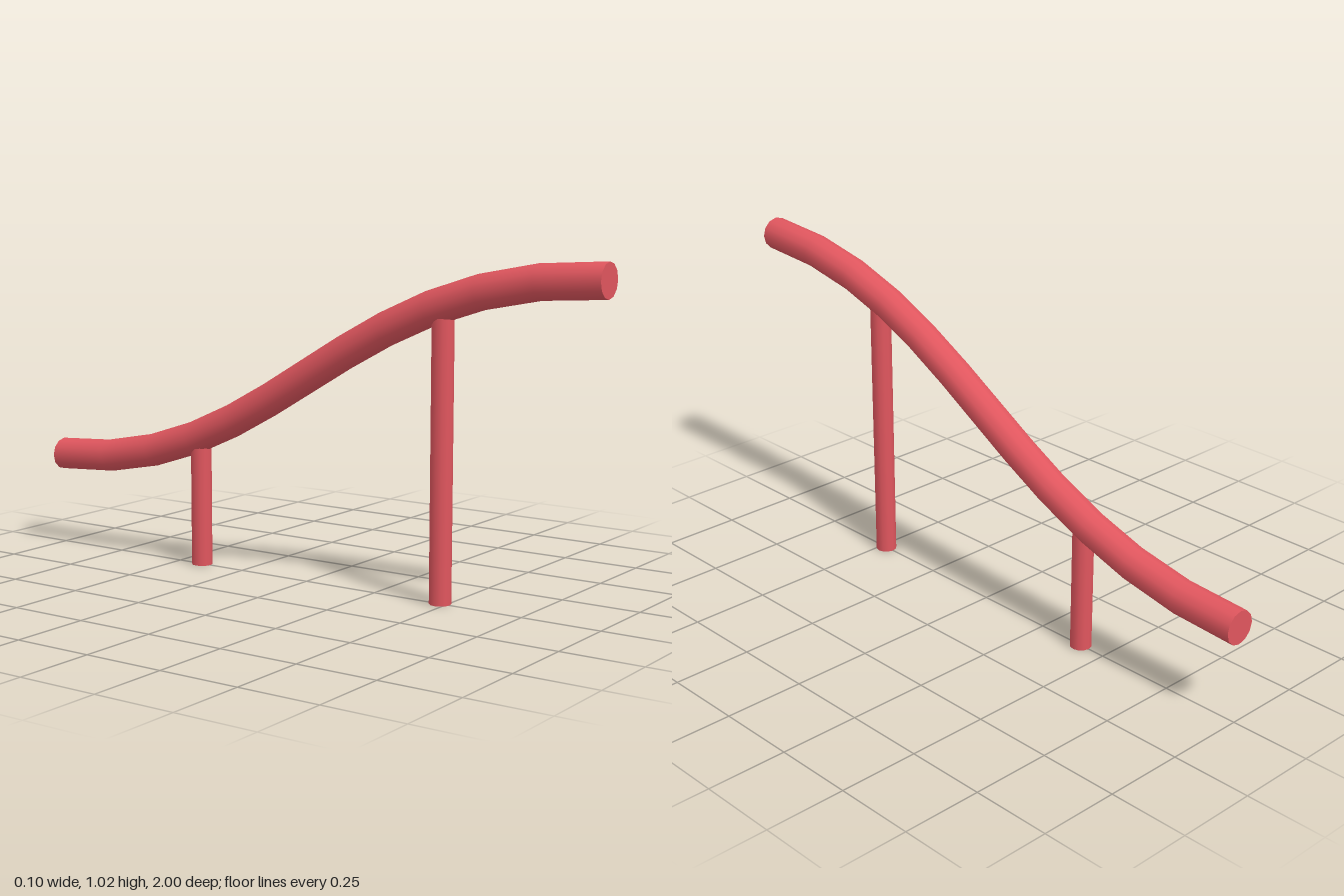
import * as THREE from 'three';

export function createModel() {
  const model = new THREE.Group();
  const material = new THREE.MeshStandardMaterial({ color: 0xe0565e });
  const add = (name, geometry, parent = model) => {
    const mesh = new THREE.Mesh(geometry, material);
    mesh.name = name;
    parent.add(mesh);
    return mesh;
  };

  const sides = 12, railRadius = 0.052;
  const high = 0.97, low = 0.302;

  // Sloping S-shaped rail, levelling out at both ends
  const path = new THREE.CubicBezierCurve3(
    new THREE.Vector3(0, high, 1),
    new THREE.Vector3(0, high, 0.11),
    new THREE.Vector3(0, low, -0.11),
    new THREE.Vector3(0, low, -1)
  );
  path.getUtoTmapping = (u) => u; // rings spaced evenly in the curve parameter
  const rail = new THREE.Group();
  rail.name = 'rail';
  model.add(rail);
  add('railTube', new THREE.TubeGeometry(path, 12, railRadius, sides), rail);

  // Flat discs closing the rail ends
  const cap = new THREE.CircleGeometry(railRadius, sides);
  add('frontCap', cap, rail).position.set(0, high, 1);
  const backCap = add('backCap', cap, rail);
  backCap.position.set(0, low, -1);
  backCap.rotation.y = Math.PI;

  // Two upright posts, ending inside the rail
  for (const [name, z, height] of [['frontPost', 0.48, 0.87], ['backPost', -0.41, 0.4]]) {
    add(name, new THREE.CylinderGeometry(0.033, 0.033, height, sides)).position.set(0, height / 2, z);
  }
  return model;
}
